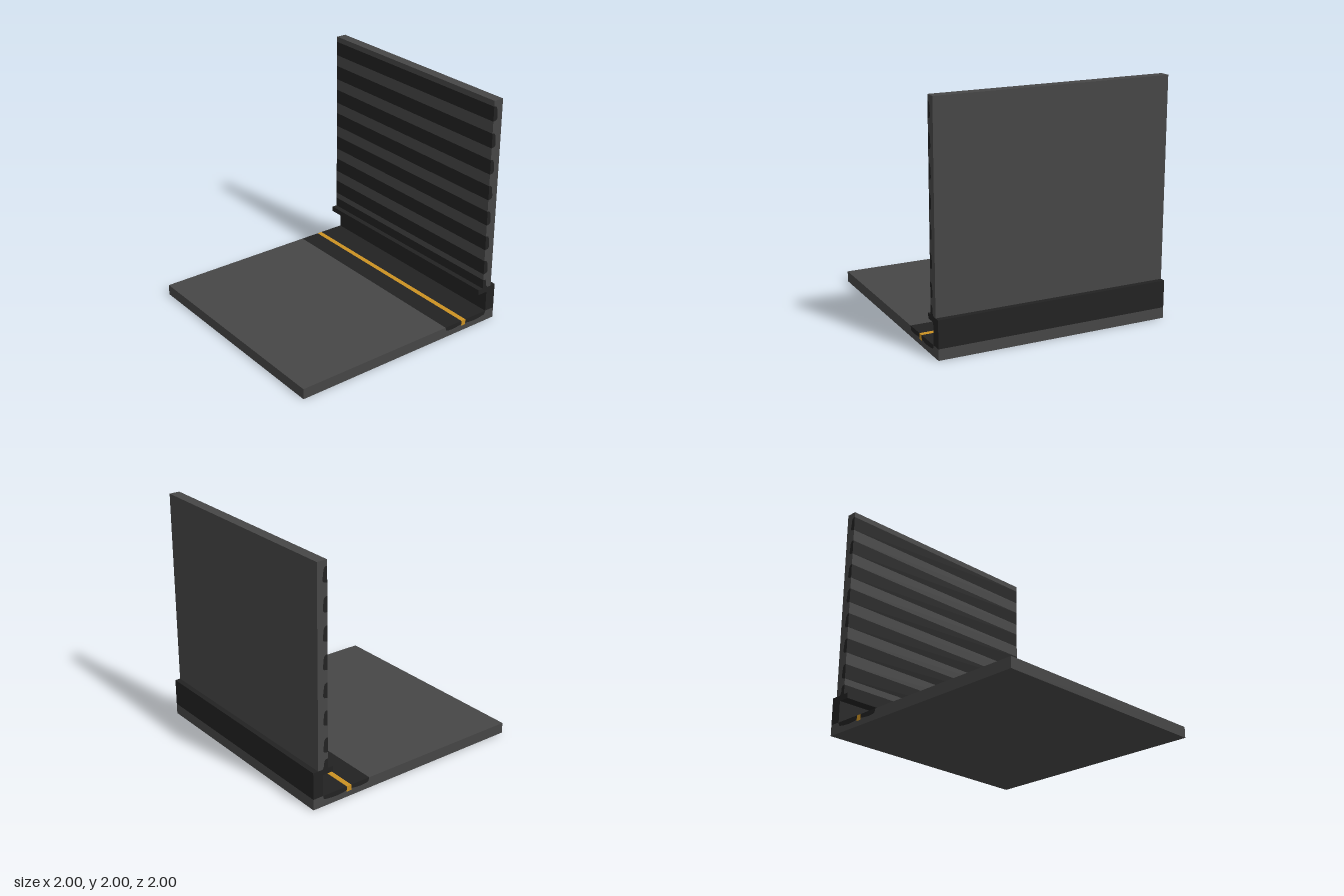
import * as THREE from 'three';

const material = (name, color) => {
  const m = new THREE.MeshStandardMaterial({ color });
  m.name = name;
  return m;
};

export function createModel() {
  const group = new THREE.Group();
  const grey = material('grey panel', 0x464646);
  const dark = material('dark trim', 0x222222);
  const yellow = material('yellow line', 0xcb9122);

  // Every part is a constant cross-section running the full depth
  const addProfile = (name, points, mat) => {
    const shape = new THREE.Shape(points.map(([x, y]) => new THREE.Vector2(x, y)));
    const geometry = new THREE.ExtrudeGeometry(shape, { depth: 2, bevelEnabled: false });
    geometry.translate(0, 0, -1);
    const mesh = new THREE.Mesh(geometry, mat);
    mesh.name = name;
    group.add(mesh);
  };

  // Floor slab with a shallow channel for the edge strip
  const top = 0.092;
  const stripOuter = [[0.457, top], [0.465, 0.062], [0.48, 0.055], [0.53, 0.05], [0.58, 0.053], [0.635, 0.06]];
  const stripInner = [[0.68, 0.058], [0.72, 0.051], [0.77, 0.047], [0.83, 0.05], [0.89, 0.058], [0.903, 0.068], [0.908, top]];
  const lineBottom = [[0.635, 0.045], [0.68, 0.045]];
  addProfile('floor', [[-1, 0], [1, 0], [1, top], ...[...stripOuter, ...lineBottom, ...stripInner].reverse(), [-1, top]], grey);
  addProfile('outerEdgeStrip', [...stripOuter, [0.635, top]], dark);
  addProfile('safetyLine', [...lineBottom, [0.68, top], [0.635, top]], yellow);
  addProfile('innerEdgeStrip', [[0.68, top], ...stripInner], dark);

  // Upright kerb with an overhanging lip
  const lipTop = 0.322;
  addProfile('kerb', [[0.908, top], [1, top], [1, lipTop], [0.815, lipTop], [0.815, 0.276], [0.908, 0.276]], dark);

  // Wall grooves, listed from bottom to top
  const inner = 0.862, outer = 0.953;
  const grooves = [[[inner, lipTop], [0.913, lipTop], [0.9, 0.343], [0.895, 0.385], [0.888, 0.4], [inner, 0.404]]];
  for (let i = 0; i < 7; i++) {
    const y = 0.458 + i * 0.228;
    grooves.push([
      [inner, y], [0.892, y + 0.005], [0.903, y + 0.018], [0.903, y + 0.04],
      [0.898, y + 0.075], [0.896, y + 0.1], [0.888, y + 0.118], [0.875, y + 0.126], [inner, y + 0.126],
    ]);
  }
  // The lowest groove opens onto the kerb, so the wall starts beside it
  const wallEdge = [...grooves[0].slice(1), ...grooves.slice(1).flat(), [inner, 2]];
  addProfile('wall', [[outer, lipTop], [outer, 2], ...wallEdge.reverse()], grey);
  grooves.forEach((points, i) => addProfile('wallStripe' + (i + 1), points, dark));

  return group;
}
